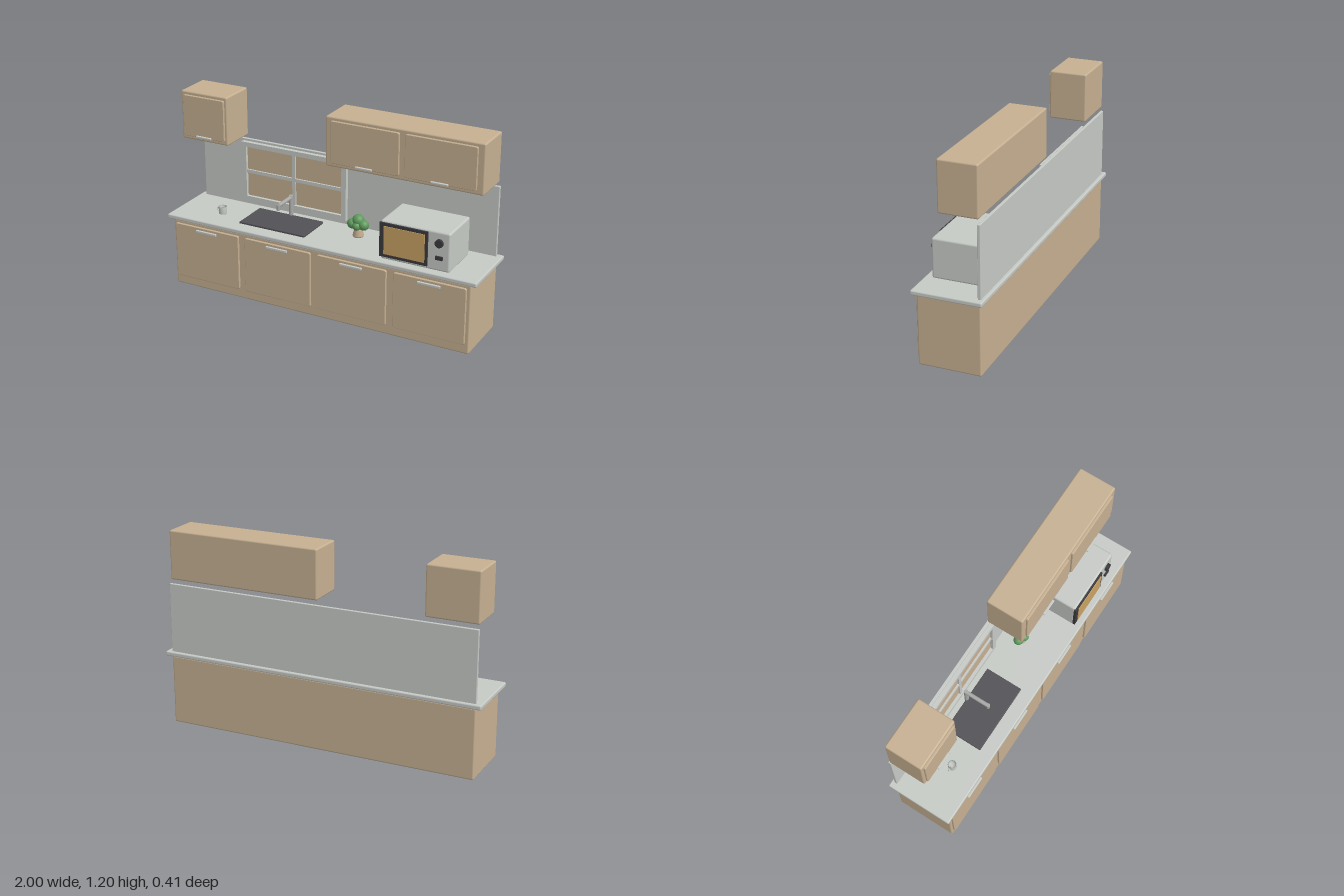
import * as THREE from 'three';
import { RoundedBoxGeometry } from 'three/addons/geometries/RoundedBoxGeometry.js';

const mat = (name, color) => Object.assign(new THREE.MeshStandardMaterial({ color }), { name });

export function createModel() {
  const wood = mat('tan wood', 0xc6b092);
  const stone = mat('light grey', 0xc6cac5);
  const steel = mat('steel', 0xa9aaa8);
  const dark = mat('dark grey', 0x525155);
  const black = mat('near black', 0x3a3a3d);
  const amber = mat('amber glass', 0xc9a264);
  const leaf = mat('leaf green', 0x5f9a5c);

  const model = new THREE.Group();
  model.name = 'kitchenUnit';

  const add = (name, geo, material, parent = model) => {
    const m = new THREE.Mesh(geo, material);
    m.name = name;
    parent.add(m);
    return m;
  };
  const group = (name) => {
    const g = new THREE.Group();
    g.name = name;
    model.add(g);
    return g;
  };
  // Box from min/max bounds; r > 0 rounds the edges
  const box = (name, material, [x0, x1], [y0, y1], [z0, z1], r = 0, parent = model) => {
    const s = [x1 - x0, y1 - y0, z1 - z0];
    const geo = r ? new RoundedBoxGeometry(...s, 2, r) : new THREE.BoxGeometry(...s);
    const m = add(name, geo, material, parent);
    m.position.set((x0 + x1) / 2, (y0 + y1) / 2, (z0 + z1) / 2);
    return m;
  };

  // Cabinet door: flat panel with rounded outline corners
  const door = (x0, x1, y0, y1, z, depth, parent) => {
    const w = x1 - x0, h = y1 - y0, r = 0.012, b = 0.003;
    const s = new THREE.Shape();
    s.moveTo(r, 0).lineTo(w - r, 0).quadraticCurveTo(w, 0, w, r);
    s.lineTo(w, h - r).quadraticCurveTo(w, h, w - r, h);
    s.lineTo(r, h).quadraticCurveTo(0, h, 0, h - r);
    s.lineTo(0, r).quadraticCurveTo(0, 0, r, 0);
    const geo = new THREE.ExtrudeGeometry(s, {
      depth: depth - b, bevelThickness: b, bevelSize: b, bevelOffset: -b, bevelSegments: 1, curveSegments: 4,
    });
    add('door', geo, wood, parent).position.set(x0, y0, z);
  };

  // Base cabinet with four doors
  const base = group('baseCabinet');
  box('baseBody', wood, [-0.965, 0.965], [0, 0.425], [-0.185, 0.185], 0.01, base);
  for (let i = 0; i < 4; i++) {
    const c = -0.729 + i * 0.4835;
    door(c - 0.22, c + 0.22, 0.06, 0.405, 0.185, 0.013, base);
    box('handle', stone, [c - 0.07, c + 0.07], [0.375, 0.39], [0.196, 0.21], 0.003, base);
  }

  // Worktop and splashback
  box('worktop', stone, [-1, 1], [0.427, 0.455], [-0.205, 0.205], 0.008);
  box('splashback', stone, [-0.965, 0.965], [0.45, 0.876], [-0.186, -0.168], 0.003);

  // Wall cabinets
  const wallCabinet = (name, x0, x1, doors) => {
    const g = group(name);
    box('wallBody', wood, [x0, x1], [0.9, 1.198], [-0.176, 0.055], 0.01, g);
    for (const [a, b] of doors) {
      const c = (a + b) / 2;
      door(a, b, 0.924, 1.177, 0.055, 0.012, g);
      box('handle', stone, [c - 0.052, c + 0.052], [0.924, 0.936], [0.064, 0.079], 0.003, g);
    }
  };
  wallCabinet('rightWallCabinet', -0.965, -0.65, [[-0.947, -0.667]]);
  wallCabinet('leftWallCabinet', 0, 0.96, [[0.035, 0.46], [0.495, 0.92]]);

  // Window: frame with a hole, pane, and cross bars
  const win = group('window');
  const rect = (C, x0, x1, y0, y1) =>
    new C([[x0, y0], [x1, y0], [x1, y1], [x0, y1]].map((p) => new THREE.Vector2(...p)));
  const frame = rect(THREE.Shape, -0.68, 0.027, 0.485, 0.862);
  frame.holes.push(rect(THREE.Path, -0.65, -0.003, 0.515, 0.833));
  add('windowFrame', new THREE.ExtrudeGeometry(frame, { depth: 0.026, bevelEnabled: false }), stone, win)
    .position.z = -0.168;
  box('windowPane', wood, [-0.65, -0.003], [0.515, 0.833], [-0.168, -0.161], 0, win);
  box('verticalBar', stone, [-0.337, -0.316], [0.515, 0.833], [-0.165, -0.15], 0, win);
  box('horizontalBar', stone, [-0.65, -0.003], [0.664, 0.685], [-0.165, -0.15], 0, win);

  // Sink and tap
  box('sink', dark, [-0.545, -0.107], [0.452, 0.466], [-0.115, 0.12], 0.003);
  const tap = group('tap');
  tap.position.set(-0.326, 0, -0.115);
  const cyl = (name, r0, r1, h, material, parent, x, y, z) => {
    const m = add(name, new THREE.CylinderGeometry(r0, r1, h, 20), material, parent);
    m.position.set(x, y, z);
    return m;
  };
  cyl('tapPost', 0.013, 0.013, 0.138, steel, tap, 0, 0.521, 0);
  cyl('tapArm', 0.012, 0.012, 0.15, steel, tap, 0, 0.578, 0.075).rotation.x = Math.PI / 2;
  cyl('tapNozzle', 0.012, 0.011, 0.035, steel, tap, 0, 0.569, 0.15);

  // Mug: open lathe with a ring handle
  const mug = group('mug');
  mug.position.set(-0.71, 0.455, 0.04);
  const mugProfile = [[0, 0], [0.022, 0], [0.025, 0.004], [0.025, 0.045], [0.021, 0.045], [0.021, 0.006], [0, 0.006]];
  add('mugCup', new THREE.LatheGeometry(mugProfile.map((p) => new THREE.Vector2(...p)), 24), stone, mug);
  add('mugHandle', new THREE.TorusGeometry(0.012, 0.003, 8, 16), stone, mug).position.set(-0.025, 0.023, 0);

  // Potted plant
  const plant = group('plant');
  plant.position.set(0.158, 0.455, -0.05);
  const potProfile = [[0, 0], [0.03, 0], [0.033, 0.008], [0.025, 0.04], [0.027, 0.058], [0, 0.058]];
  add('pot', new THREE.LatheGeometry(potProfile.map((p) => new THREE.Vector2(...p)), 20), wood, plant);
  for (const [x, y, z, r] of [
    [0, 0.1, 0, 0.036], [-0.037, 0.075, 0.005, 0.03], [0.037, 0.077, 0.005, 0.031],
    [0, 0.07, 0.022, 0.026], [0, 0.075, -0.025, 0.028],
  ]) add('foliage', new THREE.SphereGeometry(r, 18, 12), leaf, plant).position.set(x, y, z);

  // Microwave
  const oven = group('microwave');
  box('ovenBody', stone, [0.402, 0.822], [0.455, 0.69], [-0.115, 0.16], 0.012, oven);
  box('ovenDoor', black, [0.4, 0.692], [0.474, 0.68], [0.155, 0.17], 0, oven);
  box('ovenWindow', amber, [0.428, 0.676], [0.493, 0.662], [0.168, 0.174], 0, oven);
  cyl('ovenKnob', 0.024, 0.024, 0.02, black, oven, 0.76, 0.625, 0.166).rotation.x = Math.PI / 2;
  box('ovenButton', black, [0.739, 0.782], [0.526, 0.547], [0.155, 0.171], 0, oven);

  return model;
}
